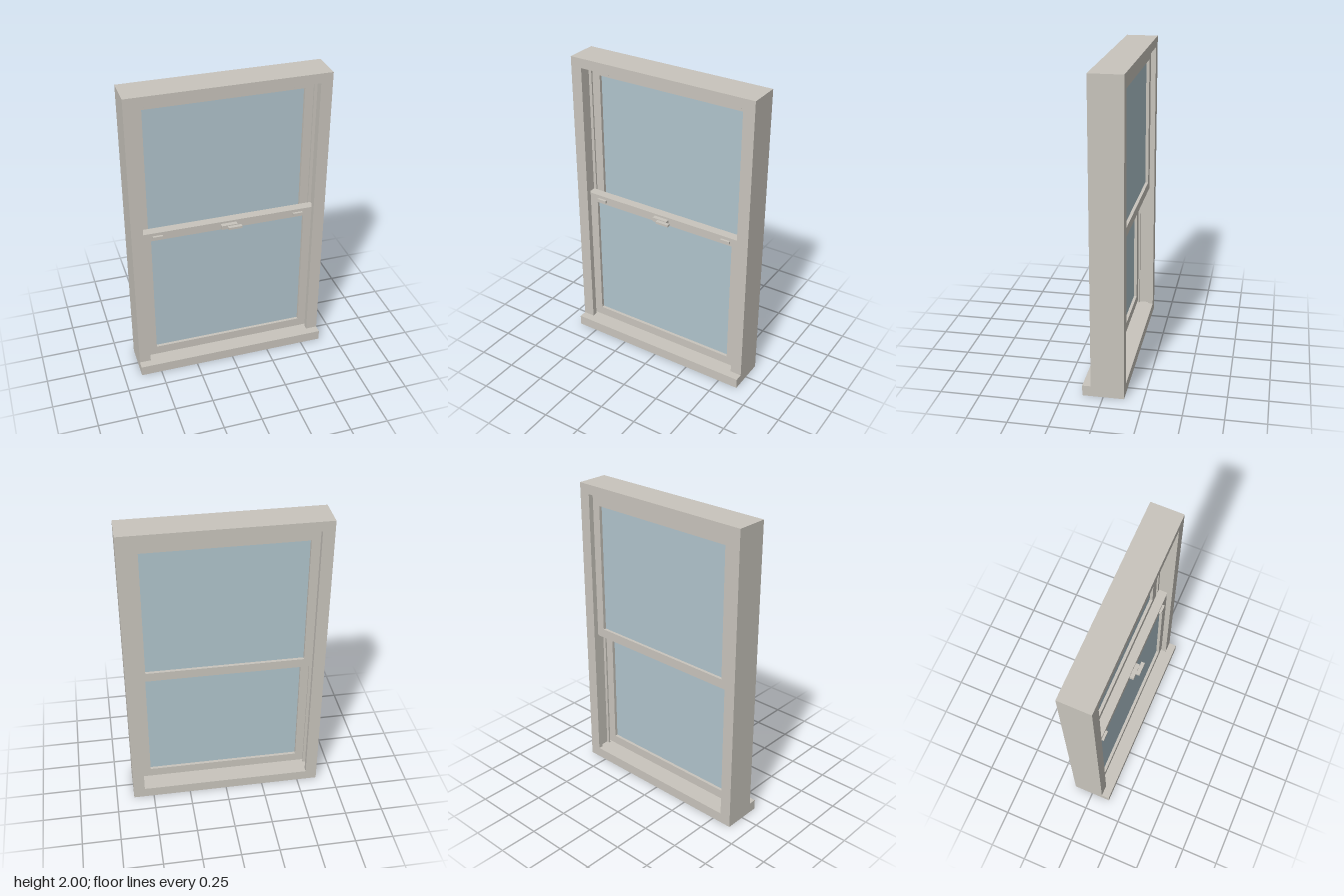
import * as THREE from 'three';

export function createModel() {
  const model = new THREE.Group();
  model.name = 'doubleHungWindow';
  const paint = new THREE.MeshStandardMaterial({ color: 0xc8c4bc });
  paint.name = 'warm grey paint';
  const pane = new THREE.MeshStandardMaterial({ color: 0xb0c4cc });
  pane.name = 'pale blue glass';

  // Box given by its minimum and maximum corners
  function box(name, parent, [x0, y0, z0], [x1, y1, z1], material = paint) {
    const mesh = new THREE.Mesh(new THREE.BoxGeometry(x1 - x0, y1 - y0, z1 - z0), material);
    mesh.position.set((x0 + x1) / 2, (y0 + y1) / 2, (z0 + z1) / 2);
    mesh.name = name;
    parent.add(mesh);
    return mesh;
  }

  const W = 0.635, INNER = 0.56, GROOVE = 0.58;
  const BACK = -0.13, FRONT = 0.077, SILL = 0.068, HEAD = 1.938;

  // Outer frame: sill, head and two jambs with a sliding channel for each sash
  const frame = new THREE.Group();
  frame.name = 'frame';
  model.add(frame);
  box('sill', frame, [-W, 0, BACK], [W, SILL, 0.13]);
  box('head', frame, [-W, HEAD, BACK], [W, 2, FRONT]);
  const jambPlan = [
    [W, BACK], [INNER, BACK], [INNER, -0.097], [GROOVE, -0.097], [GROOVE, -0.033], [INNER, -0.033],
    [INNER, -0.022], [GROOVE, -0.022], [GROOVE, 0.042], [INNER, 0.042], [INNER, FRONT], [W, FRONT],
  ];
  for (const side of [-1, 1]) {
    const shape = new THREE.Shape(jambPlan.map(([x, z]) => new THREE.Vector2(side * x, -z)));
    const geometry = new THREE.ExtrudeGeometry(shape, { depth: HEAD - SILL, bevelEnabled: false });
    geometry.rotateX(-Math.PI / 2);
    geometry.translate(0, SILL, 0);
    const jamb = new THREE.Mesh(geometry, paint);
    jamb.name = side > 0 ? 'leftJamb' : 'rightJamb';
    frame.add(jamb);
  }

  // Sash: one rectangular ring, a pane set midway, and two tilt latches
  function makeSash(name, y0, y1, bottomRail, topRail, z0, z1) {
    const sash = new THREE.Group();
    sash.name = name;
    model.add(sash);
    const half = 0.576, open = 0.506;
    const rect = (Type, x, a, b) => new Type([[-x, a], [x, a], [x, b], [-x, b]]
      .map(([px, py]) => new THREE.Vector2(px, py)));
    const ring = rect(THREE.Shape, half, y0, y1);
    ring.holes.push(rect(THREE.Path, open, y0 + bottomRail, y1 - topRail));
    const geometry = new THREE.ExtrudeGeometry(ring, { depth: z1 - z0, bevelEnabled: false });
    geometry.translate(0, 0, z0);
    const rails = new THREE.Mesh(geometry, paint);
    rails.name = 'sashFrame';
    sash.add(rails);
    const mid = (z0 + z1) / 2;
    box('glass', sash, [-open, y0 + bottomRail, mid - 0.01], [open, y1 - topRail, mid + 0.01], pane);
    for (const x of [-0.463, 0.463]) {
      box('tiltLatch', sash, [x - 0.032, y1 - 0.038, z1], [x + 0.032, y1 - 0.02, z1 + 0.016]);
    }
    return sash;
  }
  makeSash('upperSash', 0.953, 1.923, 0.06, 0.058, -0.095, -0.035);
  const lower = makeSash('lowerSash', 0.083, 1.055, 0.06, 0.055, -0.02, 0.04);

  // Sash lock on the meeting rail
  box('lockBase', lower, [-0.053, 1.014, 0.04], [0.05, 1.041, 0.068]);
  box('lockLever', lower, [-0.015, 1.02, 0.068], [0.075, 1.035, 0.092]);

  return model;
}
